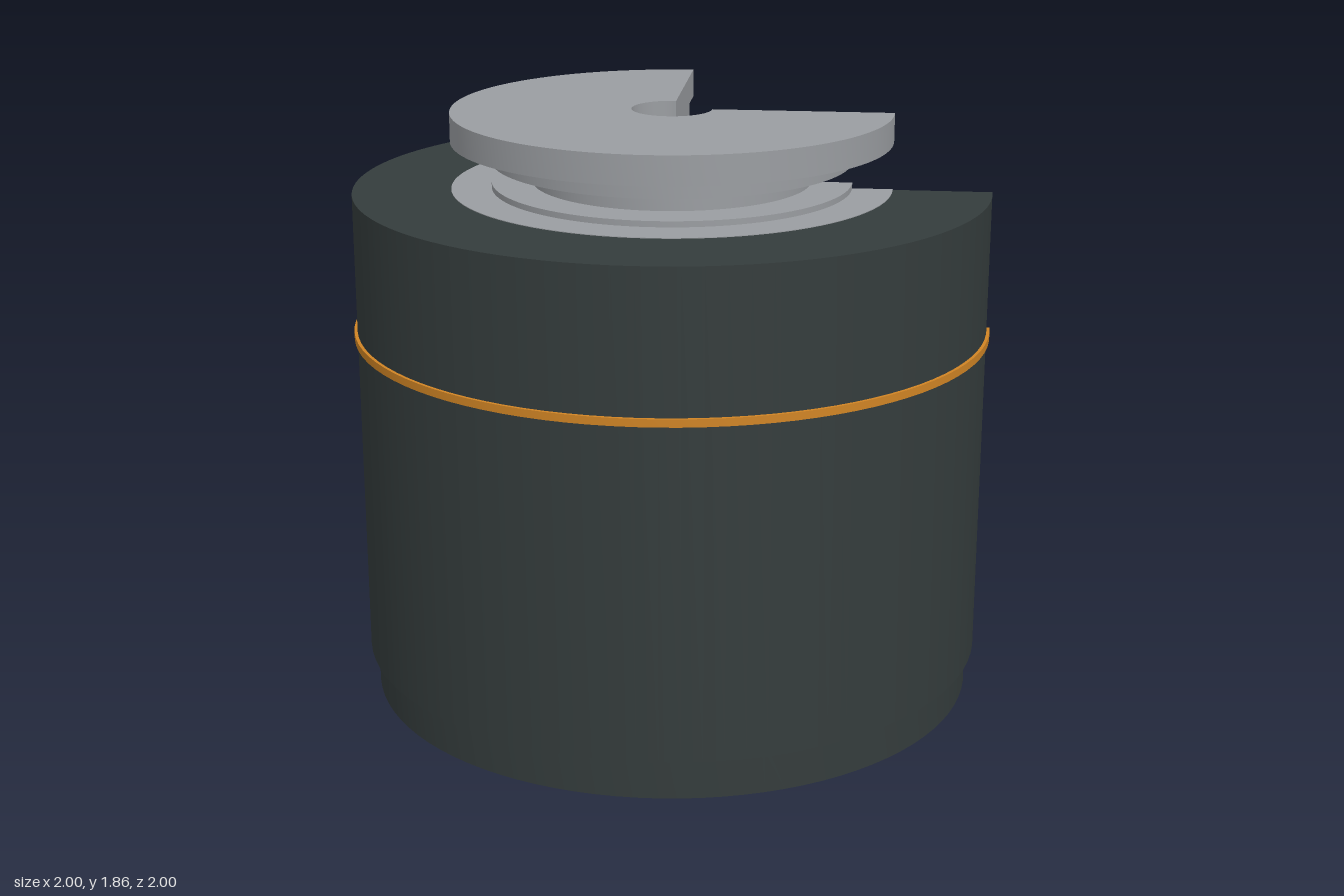
import * as THREE from 'three';
import { mergeGeometries, toCreasedNormals } from 'three/addons/utils/BufferGeometryUtils.js';

const mat = (name, color) => {
  const m = new THREE.MeshStandardMaterial({ color });
  m.name = name;
  return m;
};

// Three-quarter revolve of a closed (radius, height) profile, with both cut faces filled.
// The open quarter is x > 0, z < 0.
function cutaway(profile) {
  const pts = profile.map(([r, y]) => new THREE.Vector2(r, y));
  if (THREE.ShapeUtils.isClockWise(pts)) pts.reverse();
  const lathe = toCreasedNormals(
    new THREE.LatheGeometry([...pts, pts[0]], 72, Math.PI, Math.PI * 1.5), 0.5);
  const sideFace = new THREE.ShapeGeometry(new THREE.Shape(pts));
  const backFace = sideFace.clone();
  sideFace.rotateY(Math.PI / 2);
  backFace.index.array.reverse();
  backFace.computeVertexNormals();
  return mergeGeometries([lathe, sideFace.toNonIndexed(), backFace.toNonIndexed()]);
}

const ring = (r0, r1, y0, y1) => [[r0, y0], [r1, y0], [r1, y1], [r0, y1]];

export function createModel() {
  const model = new THREE.Group();
  model.name = 'cutawayActuator';
  const dark = mat('darkHousing', 0x343c3c);
  const grey = mat('greyMetal', 0x9a9da1);
  const copper = mat('copper', 0xb96b3c);
  const orange = mat('orangeBand', 0xd08424);
  const green = mat('boardGreen', 0x1f6b43);

  const add = (name, geometry, material) => {
    const mesh = new THREE.Mesh(geometry, material);
    mesh.name = name;
    model.add(mesh);
    return mesh;
  };
  const turn = (name, profile, material) => add(name, cutaway(profile), material);

  // Outer shell with its inner steps and groove
  turn('housing', [
    [0.92, 0.13], [0.99, 0.13], [0.99, 1.62], [0.685, 1.62], [0.685, 1.575],
    [0.625, 1.575], [0.625, 1.37], [0.56, 1.37], [0.56, 1.34], [0.81, 1.34],
    [0.81, 1.26], [0.68, 1.26], [0.68, 0.94], [0.86, 0.94], [0.86, 0.905], [0.92, 0.905],
  ], dark);
  turn('baseCover', ring(0.095, 0.965, 0, 0.13), dark);
  turn('accentBand', ring(0.99, 1.0, 1.163, 1.187), orange);
  turn('circuitBoard', ring(0.095, 0.86, 0.145, 0.172), green);

  // Stepped output flange with a bearing pocket in its bore
  turn('outputFlange', [
    [0.12, 1.28], [0.56, 1.28], [0.56, 1.37], [0.625, 1.37], [0.625, 1.575],
    [0.685, 1.575], [0.685, 1.622], [0.56, 1.622], [0.56, 1.64], [0.435, 1.64],
    [0.435, 1.705], [0.56, 1.705], [0.56, 1.77], [0.685, 1.77], [0.685, 1.86],
    [0.125, 1.86], [0.125, 1.58], [0.205, 1.58], [0.205, 1.38], [0.12, 1.38],
  ], grey);
  turn('hollowShaft', ring(0.095, 0.12, 0.172, 1.38), grey);

  // Motor: stator, windings, and hollow rotor
  turn('stator', ring(0.685, 0.9, 0.335, 0.845), grey);
  turn('upperWinding', [
    [0.12, 0.865], [0.685, 0.865], [0.685, 0.845], [0.86, 0.845], [0.86, 0.94],
    [0.62, 0.94], [0.62, 0.925], [0.58, 0.925], [0.58, 0.89], [0.12, 0.89],
  ], copper);
  turn('lowerWinding', [
    [0.31, 0.27], [0.685, 0.27], [0.685, 0.255], [0.86, 0.255], [0.86, 0.335],
    [0.62, 0.335], [0.62, 0.32], [0.57, 0.32], [0.57, 0.29], [0.31, 0.29],
  ], copper);
  turn('rotorRim', ring(0.58, 0.685, 0.345, 0.863), grey);
  turn('rotorCeiling', ring(0.21, 0.58, 0.855, 0.863), grey);
  turn('rotorHub', [
    [0.12, 0.18], [0.4, 0.18], [0.4, 0.268], [0.3, 0.268], [0.3, 0.292],
    [0.565, 0.292], [0.565, 0.322], [0.615, 0.322], [0.615, 0.345], [0.12, 0.345],
  ], grey);

  // Two-stage planetary gearbox
  turn('ringGear', ring(0.62, 0.68, 0.95, 1.255), grey);
  turn('lowerCarrier', ring(0.19, 0.57, 0.892, 0.965), grey);
  turn('middleCarrier', ring(0.205, 0.6, 1.095, 1.112), grey);
  turn('upperCarrier', ring(0.13, 0.62, 1.25, 1.272), dark);
  turn('sunGear', ring(0.155, 0.2, 0.967, 1.24), copper);

  for (let i = 0; i < 3; i++) {
    const a = (i * Math.PI * 2) / 3;
    const x = 0.4 * Math.cos(a), z = 0.4 * Math.sin(a);
    // The planet on the cut is halved; its pin stays whole
    for (const y of [1.032, 1.18]) {
      let g;
      if (i === 0) {
        const half = new THREE.Shape();
        half.absarc(0, 0, 0.19, 0, Math.PI, false);
        g = new THREE.ExtrudeGeometry(half, { depth: 0.12, bevelEnabled: false, curveSegments: 20 });
        g.rotateX(Math.PI / 2).translate(0, 0.06, 0);
      } else {
        g = new THREE.CylinderGeometry(0.19, 0.19, 0.12, 36);
      }
      add('planetGear', g, grey).position.set(x, y, z);
    }
    add('planetPin', new THREE.CylinderGeometry(0.062, 0.062, 0.45, 28), grey)
      .position.set(x, 1.115, z);
  }

  // Ring gear pins, spaced around the remaining three quarters
  for (let i = 0; i < 5; i++) {
    const a = (i * Math.PI) / 3;
    add('ringPin', new THREE.CylinderGeometry(0.038, 0.038, 0.305, 20), grey)
      .position.set(0.655 * Math.cos(a), 1.1025, 0.655 * Math.sin(a));
  }
  return model;
}
